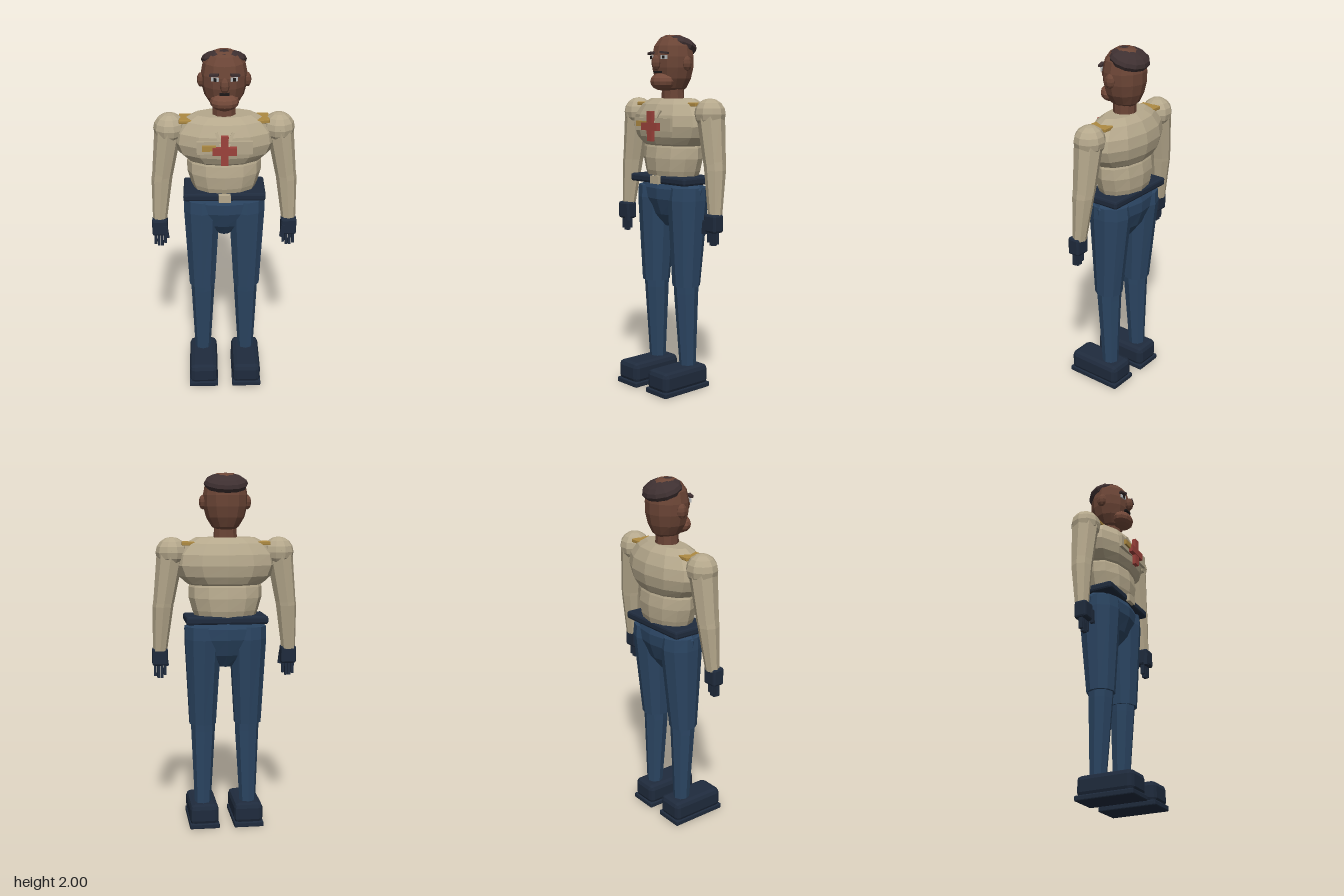
import * as THREE from 'three';
import { RoundedBoxGeometry } from 'three/addons/geometries/RoundedBoxGeometry.js';

const mat = (name, color) => new THREE.MeshStandardMaterial({ name, color, flatShading: true });

export function createModel() {
  const skin = mat('skin', 0x6b4536), chinSkin = mat('chin skin', 0x744a3a), hair = mat('hair', 0x3e3031);
  const shirt = mat('shirt', 0xb5a88c), gold = mat('gold', 0xae8a42), red = mat('red', 0x9c423b);
  const trousers = mat('trousers', 0x2b4562), dark = mat('dark navy', 0x1f2b3d);
  const eyeWhite = mat('eye white', 0xb9bcbd), black = mat('black', 0x1c1818);
  const model = new THREE.Group();
  model.name = 'figure';

  const add = (name, geometry, material, pos = [0, 0, 0], rot = [0, 0, 0], parent = model) => {
    const mesh = new THREE.Mesh(geometry, material);
    mesh.name = name;
    mesh.position.set(...pos);
    mesh.rotation.set(...rot);
    parent.add(mesh);
    return mesh;
  };

  // Closed loft through elliptical rings [y, rx, rz, cx, cz], listed from top to bottom
  const loft = (rings, sides = 12) => {
    const steps = rings.length - 1;
    const geometry = new THREE.CylinderGeometry(1, 1, 1, sides, steps);
    const p = geometry.attributes.position;
    for (let i = 0; i < p.count; i++) {
      const [y, rx, rz, cx = 0, cz = -0.045] = rings[Math.round((0.5 - p.getY(i)) * steps)];
      p.setXYZ(i, cx + p.getX(i) * rx, y, cz + p.getZ(i) * rz);
    }
    return geometry;
  };
  const ball = (rx, ry, rz, w = 12, h = 8) => new THREE.SphereGeometry(1, w, h).scale(rx, ry, rz);
  const box = (w, h, d) => new THREE.BoxGeometry(w, h, d);
  const chamferBox = (w, h, d, r) => new RoundedBoxGeometry(w, h, d, 1, r);

  // Torso
  add('chest', loft([
    [1.652, 0.165, 0.075], [1.62, 0.225, 0.115], [1.56, 0.275, 0.146], [1.5, 0.285, 0.155],
    [1.44, 0.26, 0.145], [1.4, 0.215, 0.125], [1.37, 0.16, 0.095],
  ]), shirt);
  add('abdomen', loft([
    [1.42, 0.19, 0.105], [1.38, 0.205, 0.12], [1.32, 0.205, 0.13], [1.25, 0.185, 0.125], [1.2, 0.165, 0.11],
  ]), shirt);
  add('pelvis', loft([
    [1.19, 0.205, 0.11], [1.15, 0.232, 0.124], [1.09, 0.225, 0.122], [1.0, 0.14, 0.09], [0.93, 0.04, 0.04],
  ]), trousers);
  add('belt', chamferBox(0.455, 0.045, 0.24, 0.012), dark, [0, 1.2, -0.041]);
  add('buckle', box(0.066, 0.045, 0.022), shirt, [0, 1.2, 0.086]);

  // Chest insignia
  add('namePlate', box(0.3, 0.072, 0.016), shirt, [0, 1.51, 0.102]);
  add('goldBar', box(0.075, 0.03, 0.014), gold, [-0.085, 1.512, 0.117]);
  add('crossUpright', box(0.04, 0.165, 0.022), red, [0, 1.5, 0.121]);
  add('crossBar', box(0.13, 0.042, 0.026), red, [0, 1.498, 0.122]);

  // Head
  add('neck', loft([[1.74, 0.062, 0.06], [1.62, 0.067, 0.064]], 10), skin);
  add('head', loft([
    [2.0, 0.045, 0.04], [1.98, 0.082, 0.075], [1.94, 0.112, 0.103], [1.88, 0.124, 0.116], [1.82, 0.122, 0.115],
    [1.76, 0.106, 0.102], [1.71, 0.075, 0.08], [1.685, 0.04, 0.05],
  ]), skin);
  add('chin', ball(0.078, 0.05, 0.062), chinSkin, [0, 1.745, 0.034]);
  add('nose', ball(0.026, 0.042, 0.026, 8, 6), skin, [0, 1.848, 0.08]);
  add('mouth', box(0.052, 0.012, 0.02), black, [0, 1.797, 0.068]);
  add('hairCap', ball(0.122, 0.052, 0.105), hair, [0, 1.943, -0.077], [-0.33, 0, 0]);

  // Paired parts
  for (const [side, s] of [['left', 1], ['right', -1]]) {
    const part = new THREE.Group();
    part.name = `${side}Side`;
    model.add(part);
    const put = (name, geometry, material, pos, rot) => add(name, geometry, material, pos, rot, part);

    put('ear', ball(0.022, 0.04, 0.03, 8, 6), skin, [s * 0.123, 1.843, -0.04]);
    put('eye', box(0.04, 0.02, 0.009), eyeWhite, [s * 0.05, 1.877, 0.066], [0, s * 0.28, 0]);
    put('pupil', box(0.016, 0.018, 0.008), black, [s * 0.05, 1.877, 0.07], [0, s * 0.28, 0]);
    put('eyebrow', box(0.048, 0.012, 0.022), hair, [s * 0.055, 1.901, 0.068], [0, s * 0.28, -s * 0.12]);
    put('collarStrip', box(0.016, 0.085, 0.014), shirt, [s * 0.03, 1.55, 0.098], [-0.3, 0, -s * 0.35]);
    put('epaulette', chamferBox(0.07, 0.02, 0.116, 0.004), gold, [s * 0.21, 1.62, -0.047]);

    // Arm and gloved hand
    put('shoulder', ball(0.088, 0.085, 0.085, 10, 8), shirt, [s * 0.298, 1.57, -0.045]);
    put('upperArm', loft([
      [1.58, 0.077, 0.08, s * 0.302, -0.045], [1.29, 0.058, 0.062, s * 0.344, -0.04],
    ], 8), shirt);
    put('forearm', loft([
      [1.35, 0.058, 0.062, s * 0.337, -0.04], [1.27, 0.058, 0.06, s * 0.348, -0.038],
      [1.02, 0.04, 0.037, s * 0.366, -0.022],
    ], 8), shirt);
    put('palm', chamferBox(0.088, 0.1, 0.072, 0.012), dark, [s * 0.366, 0.985, -0.01]);
    for (let i = 0; i < 4; i++) {
      const length = [0.07, 0.085, 0.085, 0.075][i];
      put('finger', box(0.015, length, 0.022), dark, [s * (0.338 + i * 0.0185), 0.948 - length / 2, -0.008]);
    }
    put('thumb', box(0.022, 0.075, 0.022), dark, [s * 0.33, 0.963, 0.02], [0, 0, -s * 0.12]);

    // Leg and boot
    put('thigh', loft([
      [1.16, 0.1, 0.116, s * 0.13], [1.09, 0.106, 0.122, s * 0.127], [0.6, 0.078, 0.08, s * 0.129, -0.032],
    ], 10), trousers);
    put('shin', loft([
      [0.66, 0.07, 0.075, s * 0.126, -0.034], [0.56, 0.068, 0.07, s * 0.126, -0.034],
      [0.12, 0.046, 0.046, s * 0.13, -0.044],
    ], 8), trousers);
    put('boot', chamferBox(0.164, 0.12, 0.33, 0.028), dark, [s * 0.127, 0.077, 0.03]);
    put('sole', chamferBox(0.17, 0.03, 0.34, 0.006), dark, [s * 0.127, 0.015, 0.03]);
  }
  return model;
}
